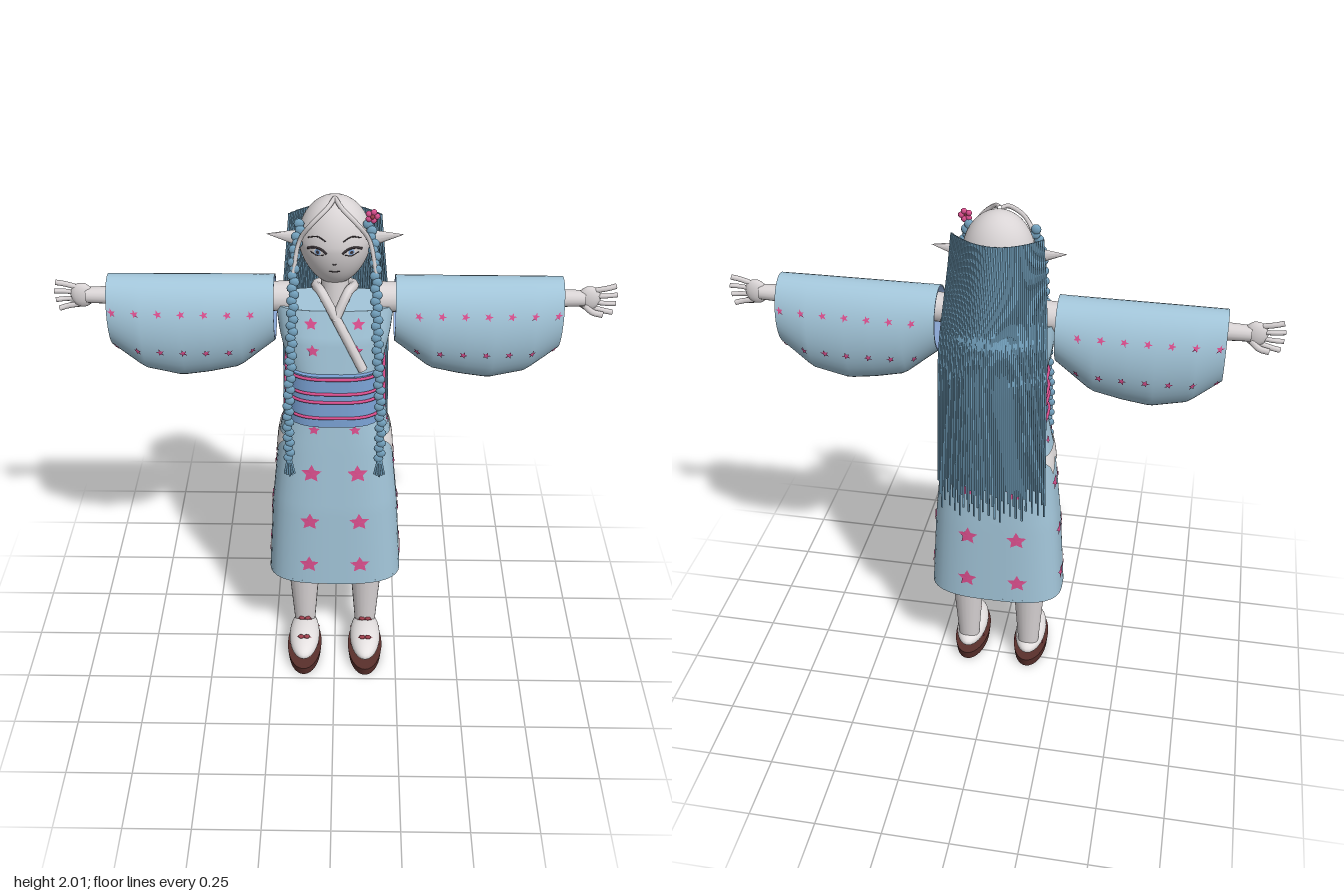
import * as THREE from 'three';
import { mergeGeometries } from 'three/addons/utils/BufferGeometryUtils.js';
import { ParametricGeometry } from 'three/addons/geometries/ParametricGeometry.js';

const V = (x, y, z) => new THREE.Vector3(x, y, z);
const mat = (name, color, side = THREE.FrontSide) => new THREE.MeshStandardMaterial({ name, color, side });

// linear interpolation in rows [key, a, b, c...]
function sample(rows, k) {
  let i = 0;
  while (i < rows.length - 2 && k > rows[i + 1][0]) i++;
  const p = rows[i], q = rows[i + 1], t = (k - p[0]) / (q[0] - p[0]);
  return p.map((a, j) => a + (q[j] - a) * t);
}

// garment surface from rows [y, half width, front z, back z], rounded-box sections
const body = (rows, grow = 0) => (u, v, target) => {
  const y0 = rows[0][0], y = y0 + (rows[rows.length - 1][0] - y0) * v;
  const [, rx, zf, zb] = sample(rows, y), a = u * Math.PI * 2;
  const k = 1 + 0.12 * Math.sin(2 * a) ** 2;
  return target.set((rx + grow) * Math.sin(a) * k, y, (zf + zb) / 2 + ((zf - zb) / 2 + grow) * Math.cos(a) * k);
};

// horizontal lid matching a garment section
function lid(fn, v) {
  const pts = [];
  let y = 0;
  for (let i = 0; i < 40; i++) {
    const p = fn(i / 40, v, V());
    y = p.y;
    pts.push(new THREE.Vector2(p.x, -p.z));
  }
  return new THREE.ShapeGeometry(new THREE.Shape(pts)).rotateX(-Math.PI / 2).translate(0, y, 0);
}

// point lifted off a surface
function lifted(fn, u, v, h) {
  const e = 1e-3, p = fn(u, v, V());
  const pu = fn(u + e, v, V()).sub(p).divideScalar(e), pv = fn(u, v - e, V()).sub(p).divideScalar(-e);
  return { p: p.addScaledVector(pu.clone().cross(pv).normalize(), h), su: pu.length(), sv: pv.length() };
}

// thin star (or disc when inner = 1) lying on a surface
function star(fn, u, v, r, inner = 0.5, h = 0.004) {
  const { p: c, su, sv } = lifted(fn, u, v, h), ring = [], pos = [];
  for (let i = 0; i < 10; i++) {
    const a = Math.PI / 2 + i * Math.PI / 5, q = i % 2 ? r * inner : r;
    ring.push(lifted(fn, u + q * Math.cos(a) / su, v + q * Math.sin(a) / sv, h).p);
  }
  ring.forEach((p, i) => pos.push(...c.toArray(), ...p.toArray(), ...ring[(i + 1) % 10].toArray()));
  const g = new THREE.BufferGeometry();
  g.setAttribute('position', new THREE.Float32BufferAttribute(pos, 3));
  g.computeVertexNormals();
  return g;
}

const tube = (pts, r, n = 16, sides = 6) =>
  new THREE.TubeGeometry(new THREE.CatmullRomCurve3(pts.map(p => p.isVector3 ? p : V(...p))), n, r, sides);
const ball = (x, y, z, a, b, c, w = 12, h = 8) => new THREE.SphereGeometry(1, w, h).scale(a, b, c).translate(x, y, z);

export function createModel() {
  const root = new THREE.Group();
  const skin = mat('skin', 0xd9d4d5), white = mat('white cloth', 0xe6e2e2, THREE.DoubleSide);
  const cloth = mat('robe blue', 0xa3c6da, THREE.DoubleSide), lining = mat('lining', 0x9fc0f4, THREE.DoubleSide);
  const sash = mat('sash blue', 0x7ba3d6), pink = mat('flower pink', 0xdd5090, THREE.DoubleSide);
  const hair = mat('hair', 0x76a5c2, THREE.DoubleSide), dark = mat('dark line', 0x3c3438);
  const wood = mat('sole brown', 0x5a302c), red = mat('strap red', 0x9c3f4c);
  const add = (name, material, ...geos) => {
    const mesh = new THREE.Mesh(geos.length > 1 ? mergeGeometries(geos) : geos[0], material);
    mesh.name = name;
    root.add(mesh);
    return mesh;
  };
  const sides = [1, -1];

  // robe
  const skirtFn = body([[0.42, 0.26, 0.145, -0.15], [0.75, 0.24, 0.142, -0.148], [1.05, 0.21, 0.128, -0.142], [1.19, 0.18, 0.12, -0.13]]);
  const torsoFn = body([[1.36, 0.165, 0.13, -0.125], [1.5, 0.195, 0.115, -0.11], [1.61, 0.208, 0.085, -0.09]]);
  add('skirt', cloth, new ParametricGeometry(skirtFn, 48, 14), lid(skirtFn, 0.015));
  add('bodice', cloth, new ParametricGeometry(torsoFn, 48, 8), lid(torsoFn, 1));

  // sash with cords
  const sashRows = [[1.17, 0.178, 0.15, -0.14], [1.38, 0.172, 0.147, -0.138]], sashFn = body(sashRows);
  add('sash', sash, new ParametricGeometry(sashFn, 48, 3), lid(sashFn, 1), lid(sashFn, 0).scale(1, -1, 1).translate(0, 2.34, 0));
  for (const y of [1.212, 1.278, 1.312, 1.372]) {
    const cord = body(sashRows, 0.004), pts = [];
    for (let i = 0; i < 40; i++) pts.push(cord(i / 40, (y - 1.17) / 0.21, V()));
    add('sashCord', pink, new THREE.TubeGeometry(new THREE.CatmullRomCurve3(pts, true), 60, 0.006, 5, true));
  }

  // ragged white panels at the hips
  for (const s of sides) {
    const panel = (u, v, t) => {
      const w = Math.abs(u - 0.5) * 2;
      const low = sample([[0, 1.04], [0.55, 0.99], [0.72, 1.035], [1, 1.07]], w)[1];
      return t.copy(lifted(skirtFn, 0.25 * s + (u - 0.5) * 0.21, (low + (1.09 - low) * v - 0.42) / 0.77, 0.004).p);
    };
    add('hipPanel', white, new ParametricGeometry(panel, 28, 3));
  }

  // printed flowers
  const prints = [];
  for (const base of [0, 0.5]) for (const s of sides) {
    for (const y of [0.52, 0.73, 0.95]) {
      prints.push(star(skirtFn, base + s * 0.06, (y - 0.42) / 0.77, 0.04));
      prints.push(star(skirtFn, 0.25 + base + s * 0.036, (y - 0.42) / 0.77, 0.033));
    }
    prints.push(star(skirtFn, base + s * 0.06, 0.72 / 0.77, 0.022));
    prints.push(star(skirtFn, 0.25 + base + s * 0.05, 0.72 / 0.77, 0.018));
    for (const y of [1.47, 1.565]) prints.push(star(torsoFn, base + s * 0.062, (y - 1.36) / 0.25, 0.024));
  }
  add('robeFlowers', pink, ...prints);

  // hanging sleeves, rows [x, bottom y, half depth]
  const drop = [[0.21, 1.46, 0.1], [0.34, 1.35, 0.113], [0.45, 1.325, 0.116], [0.55, 1.31, 0.116], [0.68, 1.34, 0.11], [0.79, 1.435, 0.09]];
  const sleeve = inset => (u, v, t) => {
    const x = 0.21 + 0.58 * v, [, b, w] = sample(drop, x), a = u * Math.PI * 2;
    return t.set(x, (1.7 + b) / 2 + ((1.7 - b) / 2 - inset) * Math.cos(a), (w - inset) * Math.sin(a));
  };
  const sleeveFn = sleeve(0), marks = [];
  for (let i = 0; i < 7; i++) {
    const x = 0.29 + i * 0.08, b = sample(drop, x)[1], c = (1.7 + b) / 2, h = (1.7 - b) / 2;
    for (const y of [1.6, 1.455]) {
      const u = Math.acos(THREE.MathUtils.clamp((y - c) / h, -1, 1)) / (2 * Math.PI);
      if (u < 0.46) for (const q of [u, 1 - u]) marks.push(star(sleeveFn, q, (x - 0.21) / 0.58, 0.016, 0.4));
    }
  }
  const fingers = [];
  for (let i = 0; i < 4; i++) {
    const y = 1.652 - i * 0.022, k = (1.5 - i) * 0.012;
    fingers.push(tube([[0.9, y, 0], [0.945, y + k * 0.6, 0.004], [0.985 - Math.abs(i - 1.3) * 0.008, y + k, 0]], 0.0095, 6));
  }
  fingers.push(tube([[0.87, 1.6, 0.01], [0.9, 1.577, 0.02], [0.935, 1.57, 0.024]], 0.011, 6));
  for (const s of sides) {
    const arm = new THREE.Group();
    arm.name = s > 0 ? 'leftArm' : 'rightArm';
    arm.add(
      add('sleeve', cloth, new ParametricGeometry(sleeveFn, 40, 25)),
      add('sleeveLining', lining, new ParametricGeometry(sleeve(0.005), 40, 25)),
      add('sleeveFlowers', pink, ...marks),
      add('forearm', skin, new THREE.CylinderGeometry(0.028, 0.055, 0.72, 16).rotateZ(-Math.PI / 2).translate(0.51, 1.622, 0)),
      add('hand', skin, ball(0.885, 1.622, 0, 0.042, 0.046, 0.02), ...fingers));
    if (s < 0) arm.rotation.y = Math.PI;
    root.add(arm);
  }

  // head, neck and collar
  const headFn = (u, v, t) => {
    const a = u * Math.PI * 2, c = Math.cos(v * Math.PI), r = Math.sin(v * Math.PI) * (1 - 0.16 * Math.max(0, c));
    return t.set(0.126 * r * Math.sin(a), 1.84 - 0.16 * c, 0.11 * r * Math.cos(a));
  };
  const faceUV = (x, y) => {
    const c = (1.84 - y) / 0.16, r = Math.sqrt(1 - c * c) * (1 - 0.16 * Math.max(0, c));
    return [Math.asin(x / (0.126 * r)) / (2 * Math.PI), Math.acos(c) / Math.PI];
  };
  const draw = (pts, r) => tube(pts.map(([x, y]) => lifted(headFn, ...faceUV(x, y), 0.001).p), r, 10, 5);
  add('head', skin, new ParametricGeometry(headFn, 40, 28));
  add('neck', skin, new THREE.CylinderGeometry(0.045, 0.055, 0.18, 20).translate(0, 1.65, 0));
  add('collar', skin,
    tube([[0, 1.65, -0.085], [-0.065, 1.66, -0.02], [-0.045, 1.67, 0.06], [0.02, 1.56, 0.105], [0.1, 1.4, 0.128]], 0.017, 30, 8),
    tube([[0, 1.65, -0.085], [0.065, 1.66, -0.02], [0.045, 1.67, 0.06], [0, 1.58, 0.1]], 0.017, 24, 8));
  const lines = [draw([[-0.018, 1.766], [0, 1.763], [0.018, 1.766]], 0.002), draw([[-0.007, 1.797], [0, 1.795], [0.007, 1.797]], 0.002)];
  for (const s of sides) {
    const X = pts => pts.map(([x, y]) => [x * s, y]);
    lines.push(draw(X([[0.026, 1.838], [0.045, 1.853], [0.068, 1.855], [0.09, 1.845]]), 0.004));
    lines.push(draw(X([[0.034, 1.833], [0.055, 1.827], [0.08, 1.836]]), 0.0016));
    lines.push(draw(X([[0.028, 1.88], [0.055, 1.893], [0.088, 1.882]]), 0.002));
    add('eyeWhite', white, star(headFn, ...faceUV(0.056 * s, 1.841), 0.016, 1, 0.001));
    add('iris', sash, star(headFn, ...faceUV(0.056 * s, 1.841), 0.011, 1, 0.002));
    add('pupil', dark, star(headFn, ...faceUV(0.056 * s, 1.841), 0.006, 1, 0.003));
    add('ear', skin, new THREE.ConeGeometry(0.036, 0.13, 12).scale(1, 1, 0.5).rotateZ(-s * (Math.PI / 2 - 0.12)).translate(s * 0.17, 1.852, 0));
  }
  add('faceLines', dark, ...lines);

  // back hair: curved sheet with separate strands, rows [y, half width, side z, middle z]
  const fall = [[0.86, 0.2, -0.16, -0.225], [1.45, 0.19, -0.135, -0.222], [1.6, 0.185, -0.1, -0.205], [1.75, 0.17, -0.05, -0.155], [1.92, 0.155, -0.03, -0.115]];
  const hairAt = (s, y, t = V()) => {
    const [, w, zs, zm] = sample(fall, y);
    return t.set(w * s, y, zs + (zm - zs) * (1 - s * s));
  };
  add('hairSheet', hair, new ParametricGeometry((u, v, t) => hairAt(u * 2 - 1, 1.92 - 0.75 * v, t), 30, 16));
  const strands = [];
  for (let i = 0; i < 58; i++) {
    const s = i / 28.5 - 1, end = 0.87 + ((i * 37) % 11) * 0.014, pts = [];
    for (let j = 0; j <= 8; j++) pts.push(hairAt(s, 1.92 + (end - 1.92) * j / 8));
    strands.push(tube(pts, 0.0042, 16, 5));
  }
  add('hairStrands', hair, ...strands);

  // front braids and pale bangs
  for (const s of sides) {
    const path = new THREE.CatmullRomCurve3([[0.115, 1.92, 0.05], [0.135, 1.82, 0.075], [0.142, 1.68, 0.105], [0.152, 1.45, 0.14], [0.165, 1.22, 0.156], [0.165, 1.04, 0.155]]
      .map(([x, y, z]) => V(s * x, y, z)));
    const links = [];
    for (let i = 0; i <= 40; i++) {
      const p = path.getPointAt(i / 40);
      links.push(ball(p.x + (i % 2 ? 0.004 : -0.004), p.y, p.z, 0.018, 0.018, 0.009, 8, 6));
    }
    for (let k = -2; k <= 2; k++)
      links.push(tube([[s * 0.165, 1.06, 0.155], [s * 0.165 + k * 0.006, 1, 0.157], [s * 0.165 + k * 0.009, 0.955 + Math.abs(k) * 0.006, 0.153]], 0.0045, 6, 5));
    add('braid', hair, ...links);
    add('bangs', skin, tube([[0, 2.0, 0.02], [s * 0.025, 1.985, 0.075], [s * 0.075, 1.94, 0.097], [s * 0.117, 1.87, 0.075], [s * 0.14, 1.76, 0.09]], 0.008, 24, 6));
  }

  // hair flower
  const petals = [];
  for (let i = 0; i < 5; i++) {
    const a = i * Math.PI * 0.4;
    petals.push(ball(0.125 + 0.015 * Math.cos(a), 1.95 + 0.015 * Math.sin(a), 0.055, 0.011, 0.011, 0.008, 8, 6));
  }
  add('hairFlower', pink, ...petals);
  add('hairFlowerCentre', red, ball(0.125, 1.95, 0.061, 0.008, 0.008, 0.006, 8, 6));

  // legs, socks and sandals
  for (const s of sides) {
    const x = s * 0.125;
    add('leg', skin, new THREE.CylinderGeometry(0.075, 0.042, 0.44, 20).scale(1, 1, 0.85).translate(x, 0.32, -0.002));
    add('sock', white, ball(x, 0.084, 0.077, 0.062, 0.046, 0.14, 24, 16));
    add('sole', wood, new THREE.CylinderGeometry(1, 0.94, 0.04, 32).scale(0.07, 1, 0.154).translate(x, 0.022, 0.083));
    for (const [z, y] of [[0.14, 0.124], [0.035, 0.13]]) {
      add('strap', red, tube([[x - 0.058, 0.07, z - 0.02], [x - 0.035, 0.112, z - 0.01], [x, y, z], [x + 0.035, 0.112, z - 0.01], [x + 0.058, 0.07, z - 0.02]], 0.004, 14, 5));
      add('bow', red, ...sides.map(k => ball(x + k * 0.012, y + 0.005, z, 0.013, 0.008, 0.01, 8, 6)));
    }
  }
  return root;
}
